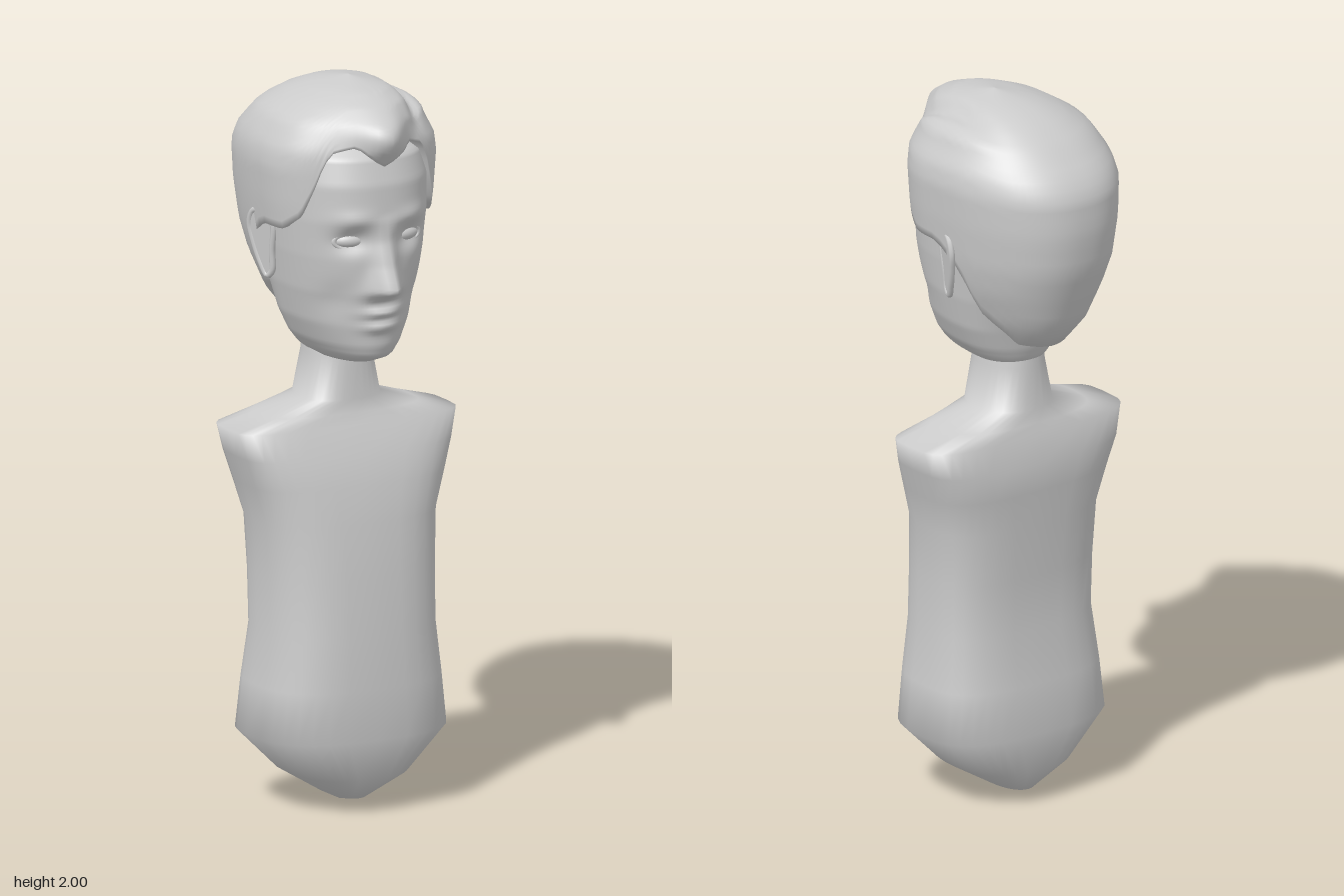
import * as THREE from 'three';

const mat = new THREE.MeshStandardMaterial({ color: 0xcccccc, side: THREE.DoubleSide });

const bump = (v, centre, width) => Math.exp(-(((v - centre) / width) ** 2));
const pow = (v, e) => Math.sign(v) * Math.abs(v) ** e;

// Linear lookup in a table of rows [key, ...values]
function lookup(table, key) {
  let i = 0;
  while (i < table.length - 2 && key > table[i + 1][0]) i++;
  const a = table[i], b = table[i + 1];
  const t = THREE.MathUtils.clamp((key - a[0]) / (b[0] - a[0]), 0, 1);
  return a.map((v, k) => v + (b[k] - v) * t);
}

// Rounded section: half width, front z, back z, squareness, middle z
function section(angle, halfWidth, front, back, e, mid) {
  const s = pow(Math.sin(angle), e);
  return [halfWidth * pow(Math.cos(angle), e), mid + Math.abs(s) * ((s > 0 ? front : back) - mid)];
}

// Smooth skin over closed rings, bottom to top
function skin(name, rows, segs, point) {
  const pos = [], index = [];
  for (let i = 0; i <= rows; i++) {
    for (let j = 0; j < segs; j++) {
      pos.push(...point(i, (j / segs) * Math.PI * 2));
      if (i === rows) continue;
      const a = i * segs + j, b = i * segs + ((j + 1) % segs);
      index.push(a, a + segs, b, b, a + segs, b + segs);
    }
  }
  const g = new THREE.BufferGeometry();
  g.setAttribute('position', new THREE.Float32BufferAttribute(pos, 3));
  g.setIndex(index);
  g.computeVertexNormals();
  return part(name, g);
}

function part(name, geometry) {
  const m = new THREE.Mesh(geometry, mat);
  m.name = name;
  return m;
}

// Torso and neck: y, half width, front, back, squareness
function makeTorso() {
  const rings = [
    [0, 0, 0.02, 0.02, 1],
    [0.025, 0.05, 0.13, -0.09, 0.9],
    [0.095, 0.165, 0.215, -0.145, 0.8],
    [0.21, 0.28, 0.24, -0.165, 0.7],
    [0.35, 0.265, 0.238, -0.155, 0.7],
    [0.5, 0.247, 0.23, -0.13, 0.7],
    [0.65, 0.25, 0.217, -0.135, 0.7],
    [0.8, 0.257, 0.2, -0.145, 0.68],
    [0.9, 0.287, 0.18, -0.153, 0.62],
    [0.98, 0.31, 0.157, -0.16, 0.55],
    [1.055, 0.333, 0.122, -0.138, 0.5],
    [1.085, 0.225, 0.108, -0.13, 0.6],
    [1.12, 0.112, 0.1, -0.118, 0.8],
    [1.24, 0.09, 0.095, -0.108, 0.9],
    [1.34, 0.085, 0.08, -0.1, 1],
  ];
  return skin('torso', rings.length - 1, 32, (i, angle) => {
    const [y, w, f, b, e] = rings[i];
    const [x, z] = section(angle, w, f, b, e, 0.01);
    return [x, y, z];
  });
}

// Head with modelled nose, eye sockets, brows and lips
function makeHead() {
  const rings = [
    [1.24, 0, 0.05, 0.04, 1],
    [1.243, 0.075, 0.18, -0.09, 0.95],
    [1.265, 0.105, 0.238, -0.11, 0.95],
    [1.3, 0.132, 0.252, -0.125, 0.95],
    [1.36, 0.16, 0.257, -0.14, 0.92],
    [1.45, 0.183, 0.268, -0.17, 0.88],
    [1.55, 0.198, 0.275, -0.21, 0.85],
    [1.65, 0.208, 0.283, -0.25, 0.85],
    [1.75, 0.213, 0.277, -0.26, 0.85],
    [1.82, 0.2, 0.255, -0.25, 0.85],
    [1.88, 0.15, 0.175, -0.2, 0.9],
    [1.93, 0.08, 0.1, -0.14, 1],
    [1.94, 0, 0, 0, 1],
  ];
  // Nose: y, projection, width
  const nose = [
    [1.425, 0, 0.04], [1.445, 0.03, 0.045], [1.462, 0.08, 0.04], [1.485, 0.07, 0.037],
    [1.53, 0.045, 0.03], [1.6, 0.015, 0.026], [1.67, 0, 0.03],
  ];
  const rows = 76;
  return skin('head', rows, 96, (i, angle) => {
    // Two extra rows close the underside of the chin
    const y0 = i === 0 ? 1.24 : 1.243 + (0.697 * (i - 1)) / (rows - 1);
    const [y, w, f, b, e] = lookup(rings, y0);
    let [x, z] = section(angle, w, f, b, e, 0.01);
    if (z > 0.08) {
      const [, depth, width] = lookup(nose, y);
      const ax = Math.abs(x);
      z += depth * bump(x, 0, width);
      z -= 0.026 * bump(ax, 0.085, 0.045) * bump(y, 1.6, 0.032);
      z += 0.008 * bump(ax, 0.09, 0.05) * bump(y, 1.66, 0.022);
      z += 0.022 * bump(x, 0, 0.05) * (bump(y, 1.397, 0.014) + 0.9 * bump(y, 1.357, 0.015));
      z -= 0.012 * bump(ax, 0.12, 0.04) * bump(y, 1.43, 0.05);
    }
    return [x, y, z];
  });
}

// Swept hair with widow's peak, front quiff and side parting
function makeHair() {
  // Hairline: angle from the front, height
  const hairline = [
    [0, 1.8], [0.3, 1.86], [0.55, 1.84], [0.74, 1.74], [0.95, 1.66], [1.25, 1.62],
    [1.6, 1.62], [1.8, 1.55], [1.95, 1.43], [2.4, 1.335], [3.15, 1.325],
  ];
  const rings = [
    [1.32, 0.11, 0.2, -0.19],
    [1.4, 0.165, 0.22, -0.258],
    [1.5, 0.208, 0.235, -0.3],
    [1.58, 0.228, 0.245, -0.33],
    [1.69, 0.243, 0.25, -0.345],
    [1.79, 0.252, 0.25, -0.34],
    [1.84, 0.245, 0.25, -0.31],
    [1.915, 0.205, 0.225, -0.23],
    [1.955, 0.15, 0.195, -0.165],
    [1.98, 0.09, 0.15, -0.1],
    [2, 0, 0.03, 0.03],
  ];
  const rows = 30;
  return skin('hair', rows, 96, (i, angle) => {
    const fromFront = Math.acos(THREE.MathUtils.clamp(Math.sin(angle), -1, 1));
    const edge = lookup(hairline, fromFront)[1];
    // The first row tucks the rim in against the head
    const t = Math.max(0, i - 1) / (rows - 1);
    let y = edge + (2 - edge) * Math.sin((t * Math.PI) / 2);
    const [, w, f, b] = lookup(rings, y);
    let [x, z] = section(angle, w, f, b, 0.88, 0.03);
    if (z > 0) z += 0.085 * bump(x, -0.005, 0.08) * bump(y, 1.89, 0.075) * Math.min(1, z / 0.18);
    if (y > 1.8) {
      const forward = THREE.MathUtils.smoothstep(z, -0.2, 0.08);
      y -= 0.022 * forward * bump(x, 0.135, 0.025) * THREE.MathUtils.smoothstep(y, 1.84, 1.92);
      x += 0.02 * THREE.MathUtils.smoothstep(y, 1.88, 2);
    }
    if (i === 0) { x *= 0.82; z *= 0.82; }
    return [x, y, z];
  });
}

// Eyeball with a lid rim
function makeEye(side) {
  const eye = new THREE.Group();
  eye.name = side > 0 ? 'leftEye' : 'rightEye';
  const ball = part('eyeball', new THREE.SphereGeometry(1, 20, 12));
  ball.scale.set(0.043, 0.02, 0.022);
  const lid = part('eyelid', new THREE.TorusGeometry(0.043, 0.008, 8, 28));
  lid.scale.set(1, 0.52, 1);
  lid.position.z = 0.006;
  eye.add(ball, lid);
  eye.position.set(side * 0.085, 1.598, 0.228);
  eye.rotation.y = side * 0.3;
  return eye;
}

// Ear: flat inner panel with a rounded rim, standing out at the back
function makeEar(side) {
  const outline = [
    [0.03, 0.06], [0.005, 0.09], [-0.035, 0.088], [-0.053, 0.05], [-0.043, 0],
    [-0.022, -0.055], [0, -0.09], [0.018, -0.075], [0.022, -0.02],
  ];
  const curve = new THREE.CatmullRomCurve3(outline.map(([z, y]) => new THREE.Vector3(0, y, z)), true);
  const rim = part('earRim', new THREE.TubeGeometry(curve, 48, 0.009, 8, true));
  const shape = new THREE.Shape(curve.getPoints(36).slice(0, -1).map((p) => new THREE.Vector2(p.z, p.y)));
  const panel = new THREE.ExtrudeGeometry(shape, { depth: 0.01, bevelEnabled: false });
  panel.translate(0, 0, -0.005);
  panel.rotateY(-Math.PI / 2);
  const ear = new THREE.Group();
  ear.name = side > 0 ? 'leftEar' : 'rightEar';
  ear.add(rim, part('earPanel', panel));
  ear.position.set(side * 0.212, 1.553, -0.005);
  ear.rotation.set(0, -side * 0.35, side * -0.08);
  return ear;
}

export function createModel() {
  const model = new THREE.Group();
  model.name = 'bust';
  model.add(makeTorso(), makeHead(), makeHair());
  for (const side of [1, -1]) model.add(makeEye(side), makeEar(side));
  return model;
}
